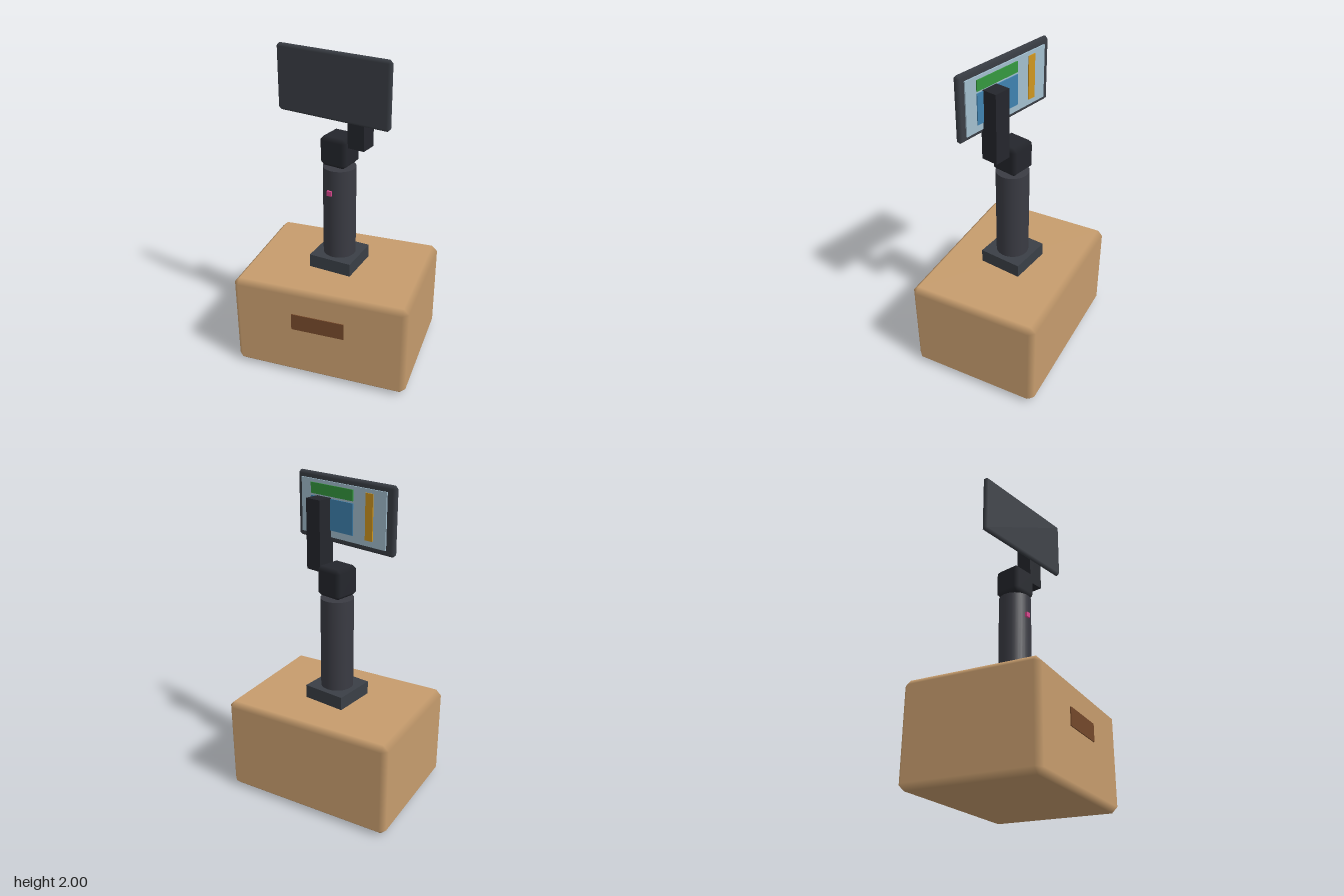
import * as THREE from 'three';

// Box with single-cut bevels; bevel vertices keep the face normals so edges shade softly
function bevelBox(w, h, d, b) {
  const half = [w / 2, h / 2, d / 2], pos = [], nor = [], idx = [], verts = {};
  const S = [-1, 1];
  const key = (a, s) => a + ':' + s.join();
  for (let a = 0; a < 3; a++)
    for (const x of S) for (const y of S) for (const z of S) {
      const s = [x, y, z];
      verts[key(a, s)] = pos.length / 3;
      pos.push(...s.map((v, i) => v * (half[i] - (i === a ? 0 : b))));
      nor.push(...s.map((v, i) => (i === a ? v : 0)));
    }
  const point = i => new THREE.Vector3().fromArray(pos, i * 3);
  // Adds a triangle, turned so that it faces along the given outward direction
  const tri = (p, q, r, out) => {
    const n = point(q).sub(point(p)).cross(point(r).sub(point(p)));
    if (n.dot(out) > 0) idx.push(p, q, r); else idx.push(p, r, q);
  };
  const quad = (p, q, r, s, out) => { tri(p, q, r, out); tri(p, r, s, out); };
  const at = (a, ...pairs) => {
    const s = [];
    pairs.forEach(([i, v]) => { s[i] = v; });
    return verts[key(a, s)];
  };
  for (let a = 0; a < 3; a++) {
    const u = (a + 1) % 3, v = (a + 2) % 3;
    for (const sa of S) {
      // flat face
      const out = new THREE.Vector3().setComponent(a, sa);
      const c = (p, q) => at(a, [a, sa], [u, p], [v, q]);
      quad(c(-1, -1), c(1, -1), c(1, 1), c(-1, 1), out);
      // bevel strip between this face and the next axis
      for (const su of S) {
        const e = (axis, q) => at(axis, [a, sa], [u, su], [v, q]);
        quad(e(a, -1), e(a, 1), e(u, 1), e(u, -1), out.clone().setComponent(u, su));
      }
    }
  }
  // corner triangles
  for (const x of S) for (const y of S) for (const z of S) {
    const s = [x, y, z];
    tri(verts[key(0, s)], verts[key(1, s)], verts[key(2, s)], new THREE.Vector3(x, y, z));
  }
  const g = new THREE.BufferGeometry();
  g.setAttribute('position', new THREE.Float32BufferAttribute(pos, 3));
  g.setAttribute('normal', new THREE.Float32BufferAttribute(nor, 3));
  g.setIndex(idx);
  return g;
}

function add(parent, name, geometry, color, x, y, z) {
  const mesh = new THREE.Mesh(geometry, new THREE.MeshStandardMaterial({ color }));
  mesh.name = name;
  mesh.position.set(x, y, z);
  parent.add(mesh);
  return mesh;
}

const box = (w, h, d) => new THREE.BoxGeometry(w, h, d);

export function createModel() {
  const model = new THREE.Group();
  model.name = 'displayStand';

  // Cardboard base, turned slightly, with its front label
  const base = new THREE.Group();
  base.name = 'base';
  base.rotation.y = 0.14;
  model.add(base);
  add(base, 'carton', bevelBox(1.116, 0.62, 0.842, 0.035), 0xc69c6d, 0, 0.31, 0);
  add(base, 'frontLabel', box(0.34, 0.11, 0.02), 0x74482a, 0, 0.395, 0.417);

  // Post and foot
  add(model, 'footPlate', box(0.28, 0.09, 0.28), 0x3a3f46, 0, 0.66, 0);
  add(model, 'post', new THREE.CylinderGeometry(0.102, 0.102, 0.59, 32), 0x3a3b43, 0, 0.995, 0);

  // Head, turned the other way
  const head = new THREE.Group();
  head.name = 'head';
  head.rotation.y = -0.095;
  model.add(head);
  add(head, 'statusLight', box(0.031, 0.031, 0.02), 0xd8458c, -0.005, 1.145, 0.105);
  add(head, 'swivelHub', bevelBox(0.182, 0.186, 0.182, 0.025), 0x24262c, 0, 1.398, 0);
  add(head, 'supportArm', box(0.11, 0.43, 0.11), 0x24262c, 0.144, 1.655, 0.001);

  // Display housing with its coloured screen on the back
  add(head, 'housing', bevelBox(0.758, 0.4, 0.044, 0.018), 0x3a3e45, -0.003, 1.8, 0.07);
  add(head, 'screen', box(0.66, 0.328, 0.012), 0xa3bfcf, 0, 1.8, 0.046);
  const tiles = [
    ['greenBar', 0.335, 0.065, 0x35983f, 0.08, 1.911],
    ['bluePanel', 0.335, 0.187, 0x3f82b0, 0.08, 1.772],
    ['orangeBar', 0.055, 0.27, 0xcf961f, -0.21, 1.806],
  ];
  for (const [name, w, h, color, x, y] of tiles) add(head, name, box(w, h, 0.01), color, x, y, 0.039);

  return model;
}
